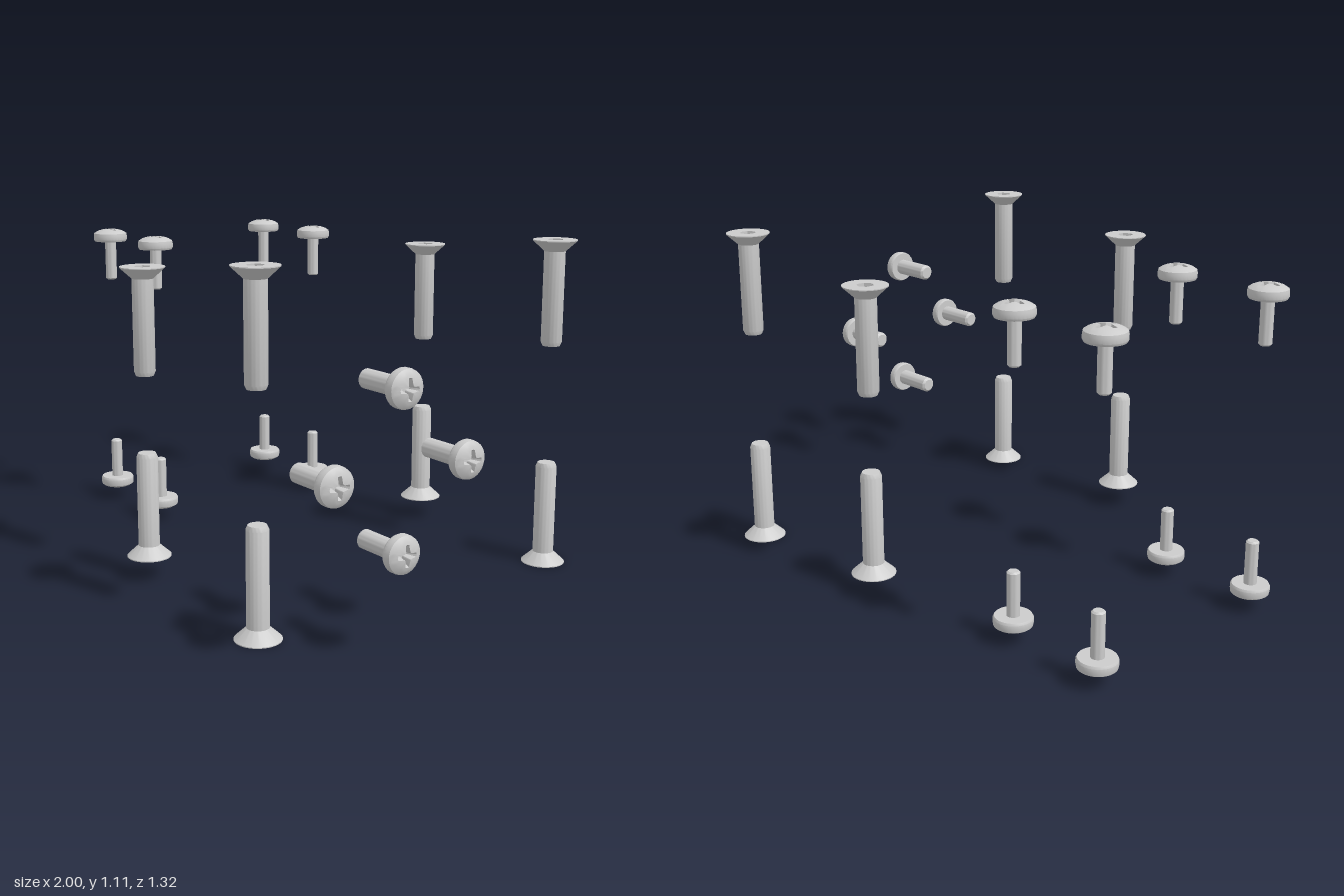
import * as THREE from 'three';
import { toCreasedNormals } from 'three/addons/utils/BufferGeometryUtils.js';

// Skin a run of rings, from the centre of the head top to the centre of the tip.
// Each ring is [radius(angle) or number, y(radius) or number].
function loft(rings, segments) {
  const point = ([r, y], j) => {
    const a = (j / segments) * Math.PI * 2;
    const radius = typeof r === 'function' ? r(a) : r;
    const height = typeof y === 'function' ? y(radius) : y;
    return [radius * Math.cos(a), height, -radius * Math.sin(a)];
  };
  const pos = [];
  for (let i = 0; i < rings.length - 1; i++) {
    for (let j = 0; j < segments; j++) {
      const a = point(rings[i], j), b = point(rings[i + 1], j);
      const c = point(rings[i + 1], j + 1), d = point(rings[i], j + 1);
      if (i < rings.length - 2) pos.push(...a, ...b, ...c);
      if (i > 0) pos.push(...a, ...c, ...d);
    }
  }
  const geo = new THREE.BufferGeometry();
  geo.setAttribute('position', new THREE.Float32BufferAttribute(pos, 3));
  return toCreasedNormals(geo, 0.5);
}

// Outline of the cross recess, one radius per 1/32 turn over an eighth
const crossSteps = [0.58, 0.56, 0.33, 0.26, 0.24];
function crossOutline(scale) {
  return (a) => {
    const k = Math.round(a / (Math.PI / 16)) % 8;
    return scale * crossSteps[Math.min(k, 8 - k)];
  };
}

// Domed screw with a cross recess; head top at y = 0, shank pointing down
function panScrew(R, headH, shankR, length) {
  const domeH = headH * 0.58;
  const dome = (r) => domeH * (Math.sqrt(Math.max(0, 1 - 0.9 * (r / R) ** 2)) - 1);
  const cross = crossOutline(R);
  const outward = (t) => (a) => cross(a) + (R * 0.97 - cross(a)) * t;
  const ch = shankR * 0.25;
  return loft([
    [0, -headH * 0.75],
    [crossOutline(R * 0.6), -headH * 0.7],
    [cross, dome],
    [outward(0.35), dome],
    [outward(0.7), dome],
    [outward(1), dome],
    [R, -headH * 0.55],
    [R, -headH * 0.85],
    [R * 0.94, -headH],
    [shankR, -headH],
    [shankR, -length + ch],
    [shankR - ch, -length],
    [0, -length],
  ], 32);
}

// Countersunk screw with a hexagonal socket; head top at y = 0
function countersunkScrew(R, headH, shankR, length) {
  const sector = Math.PI / 3;
  const hex = (a) => {
    const local = (((a + Math.PI / 6) % sector) + sector) % sector - sector / 2;
    return (0.028 * Math.cos(sector / 2)) / Math.cos(local);
  };
  return loft([
    [0, -0.035],
    [hex, -0.035],
    [hex, 0],
    [R, 0],
    [R, -0.003],
    [shankR, -headH],
    [shankR, -length + 0.014],
    [shankR - 0.006, -length],
    [0, -length],
  ], 36);
}

export function createModel() {
  const model = new THREE.Group();
  model.name = 'screwSet';
  const material = new THREE.MeshStandardMaterial({ color: 0xcccccc });

  function place(name, geo, x, y, z, rx = 0, rz = 0) {
    const mesh = new THREE.Mesh(geo, material);
    mesh.name = name;
    mesh.position.set(x, y, z);
    mesh.rotation.set(rx, 0, rz);
    model.add(mesh);
  }

  // Small domed screws, upper ones head up and lower ones head down
  const small = panScrew(0.063, 0.047, 0.021, 0.194);
  for (const x of [-0.937, -0.587]) {
    for (const z of [0.234, -0.474]) {
      place('upperSmallScrew', small, x, 1.067, z);
      place('lowerSmallScrew', small, x, 0.04, z, Math.PI);
    }
  }

  // Long countersunk screws
  const long = countersunkScrew(0.073, 0.038, 0.035, 0.352);
  for (const [x, top, bottom] of [[-0.045, 1.036, 0.075], [0.602, 1.105, 0]]) {
    for (const z of [0.588, -0.588]) {
      place('upperLongScrew', long, x, top, z);
      place('lowerLongScrew', long, x, bottom, z, Math.PI);
    }
  }

  // Ring of four domed screws facing the left side
  const side = panScrew(0.058, 0.046, 0.029, 0.2);
  for (let i = 0; i < 4; i++) {
    const a = (i * Math.PI) / 2;
    place('sideScrew', side, 1, 0.555 + 0.235 * Math.sin(a), 0.354 + 0.235 * Math.cos(a), 0, -Math.PI / 2);
  }
  return model;
}
